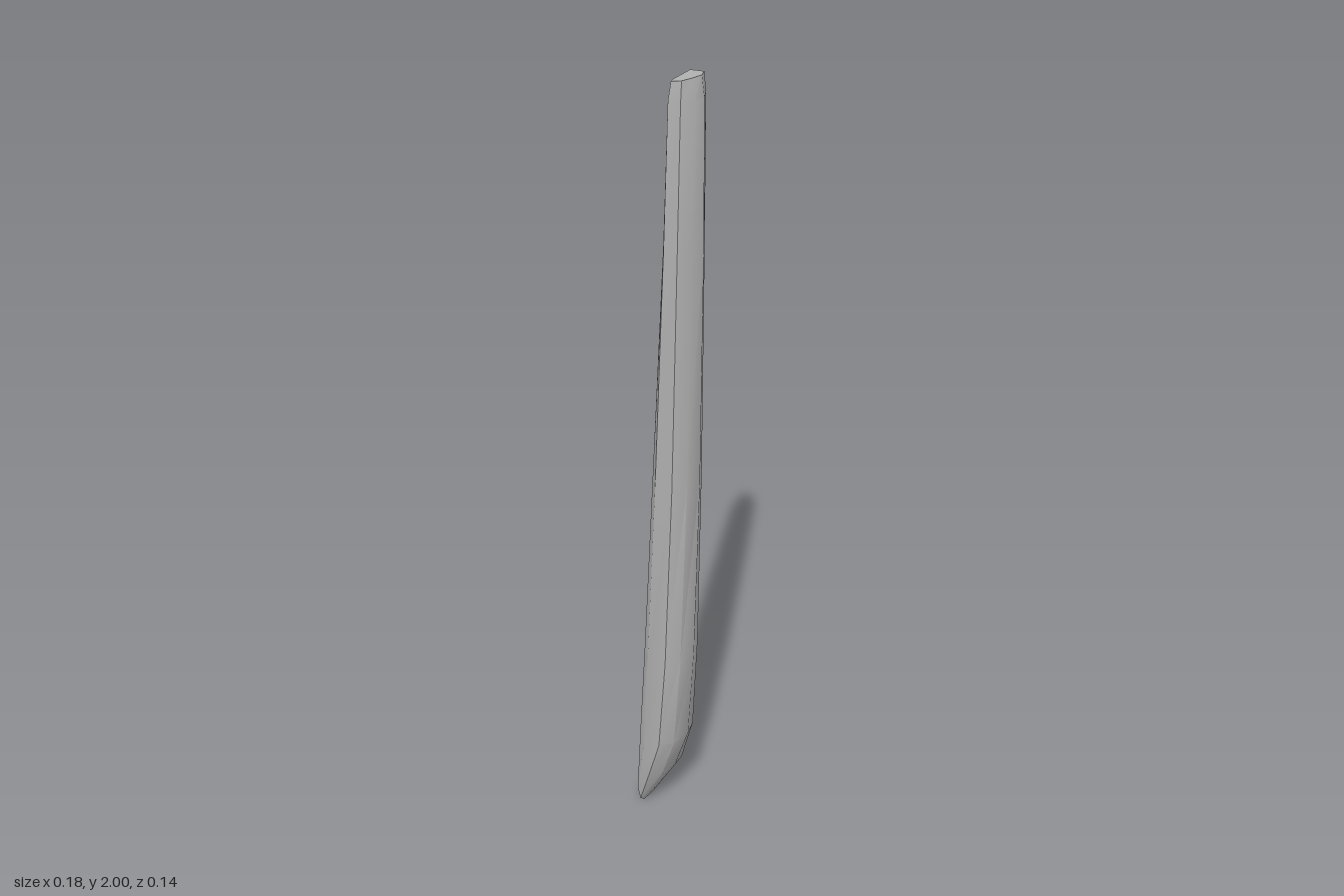
import * as THREE from 'three';
import { toCreasedNormals } from 'three/addons/utils/BufferGeometryUtils.js';

// Each section lists [x, z] corners, counter-clockwise seen from above:
// left-front, front, right-front, right, right-back, back, back-left, left-back
const sections = [
  { y: [0.06, 0.04, 0.01, 0, 0.01, 0.035, 0.07, 0.09], // slanted rounded tip
    p: [[-0.09, 0.054], [-0.09, 0.052], [-0.09, 0.045], [-0.09, 0.03], [-0.09, 0], [-0.09, -0.03], [-0.09, -0.048], [-0.088, -0.05]] },
  { y: 0.12, p: [[-0.086, 0.054], [-0.07, 0.063], [-0.04, 0.061], [-0.022, 0.03], [-0.027, -0.02], [-0.04, -0.056], [-0.078, -0.064], [-0.086, -0.05]] },
  { y: 0.24, p: [[-0.078, 0.054], [-0.045, 0.07], [0.005, 0.067], [0.022, 0.03], [0.016, -0.025], [-0.008, -0.065], [-0.07, -0.069], [-0.08, -0.05]] },
  { y: 0.5, p: [[-0.06, 0.053], [-0.03, 0.07], [0.03, 0.068], [0.045, 0.03], [0.036, -0.025], [0.006, -0.067], [-0.058, -0.07], [-0.07, -0.05]] },
  { y: 1.0, p: [[-0.03, 0.05], [0, 0.07], [0.055, 0.068], [0.067, 0.03], [0.057, -0.022], [0.022, -0.062], [-0.036, -0.066], [-0.05, -0.05]] },
  { y: 1.6, p: [[0.006, 0.047], [0.03, 0.069], [0.072, 0.067], [0.08, 0.03], [0.072, -0.015], [0.037, -0.052], [-0.012, -0.058], [-0.026, -0.05]] },
  { y: 1.95, p: [[0.028, 0.045], [0.043, 0.067], [0.08, 0.065], [0.087, 0.03], [0.081, -0.005], [0.049, -0.041], [0.005, -0.052], [-0.011, -0.05]] },
  { y: [1.988, 1.991, 2, 2, 2, 1.993, 1.984, 1.98], // sloping top cut
    p: [[0.03, 0.04], [0.045, 0.06], [0.078, 0.06], [0.08, 0.03], [0.078, 0], [0.048, -0.036], [0.01, -0.047], [-0.01, -0.05]] },
];

// Skins the sections into a closed solid
function loft(rings) {
  const n = rings[0].p.length;
  const pos = [], index = [];
  rings.forEach(({ y, p }) => p.forEach(([x, z], i) => pos.push(x, Array.isArray(y) ? y[i] : y, z)));
  for (let j = 0; j < rings.length - 1; j++) {
    for (let i = 0; i < n; i++) {
      const a = j * n + i, b = j * n + (i + 1) % n;
      index.push(a, b, b + n, a, b + n, a + n);
    }
  }
  const top = (rings.length - 1) * n;
  for (let i = 1; i < n - 1; i++) {
    index.push(top, top + i, top + i + 1);
    index.push(0, i + 1, i);
  }
  const geo = new THREE.BufferGeometry();
  geo.setAttribute('position', new THREE.Float32BufferAttribute(pos, 3));
  geo.setIndex(index);
  return toCreasedNormals(geo, 0.55);
}

export function createModel() {
  const group = new THREE.Group();
  group.name = 'shard';
  const grey = new THREE.MeshStandardMaterial({ color: 0xb8b8b8 });
  grey.name = 'grey';
  const blade = new THREE.Mesh(loft(sections), grey);
  blade.name = 'blade';
  group.add(blade);
  return group;
}
